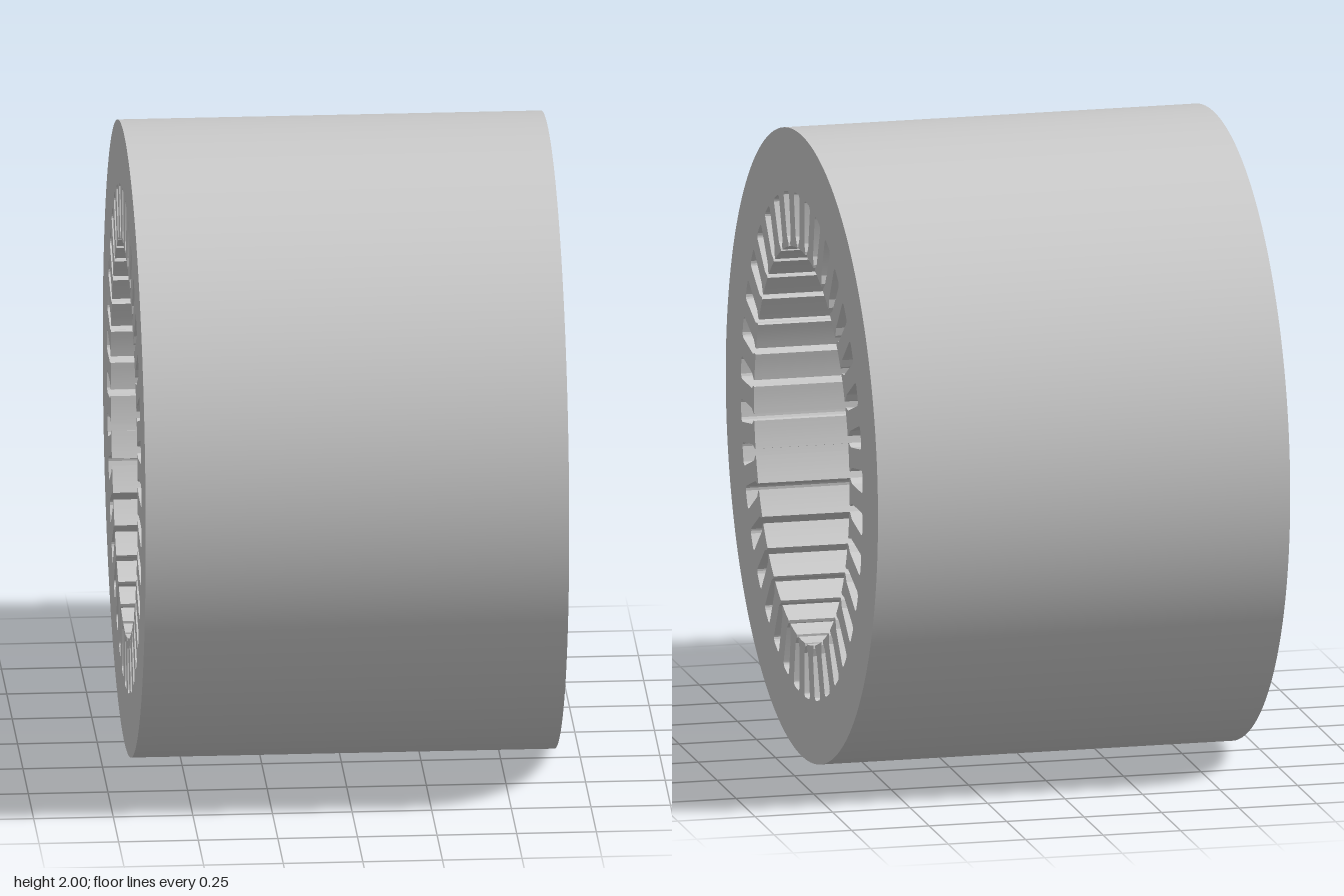
import * as THREE from 'three';
import { toCreasedNormals } from 'three/addons/utils/BufferGeometryUtils.js';

const LENGTH = 1.33, OUTER = 1, BORE = 0.627, SLOT_BOTTOM = 0.8, SLOTS = 36;

// Half a slot as [radius, half width], from the narrow mouth to the rounded bottom
const HALF_SLOT = [
  [BORE, 0.011], [0.637, 0.011], [0.66, 0.0255], [0.783, 0.0365],
  [0.791, 0.0355], [0.796, 0.0315], [SLOT_BOTTOM, 0.024], [SLOT_BOTTOM + 0.0005, 0],
];

// Bore outline: slots joined by the curved tips of the teeth
function boreOutline() {
  const pitch = (2 * Math.PI) / SLOTS;
  const mouth = Math.asin(HALF_SLOT[0][1] / BORE);
  const slot = [
    ...HALF_SLOT.map(([r, w]) => [r, -w]),
    ...HALF_SLOT.slice(0, -1).reverse(),
  ];
  const points = [];
  for (let i = 0; i < SLOTS; i++) {
    const a = (i + 0.5) * pitch, c = Math.cos(a), s = Math.sin(a);
    for (const [r, w] of slot) {
      points.push(new THREE.Vector2(r * c - w * s, r * s + w * c));
    }
    // Tooth tip along the bore circle
    for (let k = 1; k < 5; k++) {
      const t = a + mouth + ((pitch - 2 * mouth) * k) / 5;
      points.push(new THREE.Vector2(BORE * Math.cos(t), BORE * Math.sin(t)));
    }
  }
  return new THREE.Path(points);
}

export function createModel() {
  const group = new THREE.Group();
  group.name = 'slottedStator';

  // Ring section with a toothed bore, extruded along x
  const section = new THREE.Shape().absarc(0, 0, OUTER, 0, Math.PI * 2, false);
  section.holes.push(boreOutline());
  const geometry = new THREE.ExtrudeGeometry(section, {
    depth: LENGTH, bevelEnabled: false, curveSegments: 144,
  });
  geometry.translate(0, 0, -LENGTH / 2).rotateY(Math.PI / 2).translate(0, OUTER, 0);

  const core = new THREE.Mesh(
    toCreasedNormals(geometry, 0.35),
    new THREE.MeshStandardMaterial({ color: 0xcccccc }),
  );
  core.name = 'statorCore';
  group.add(core);
  return group;
}
